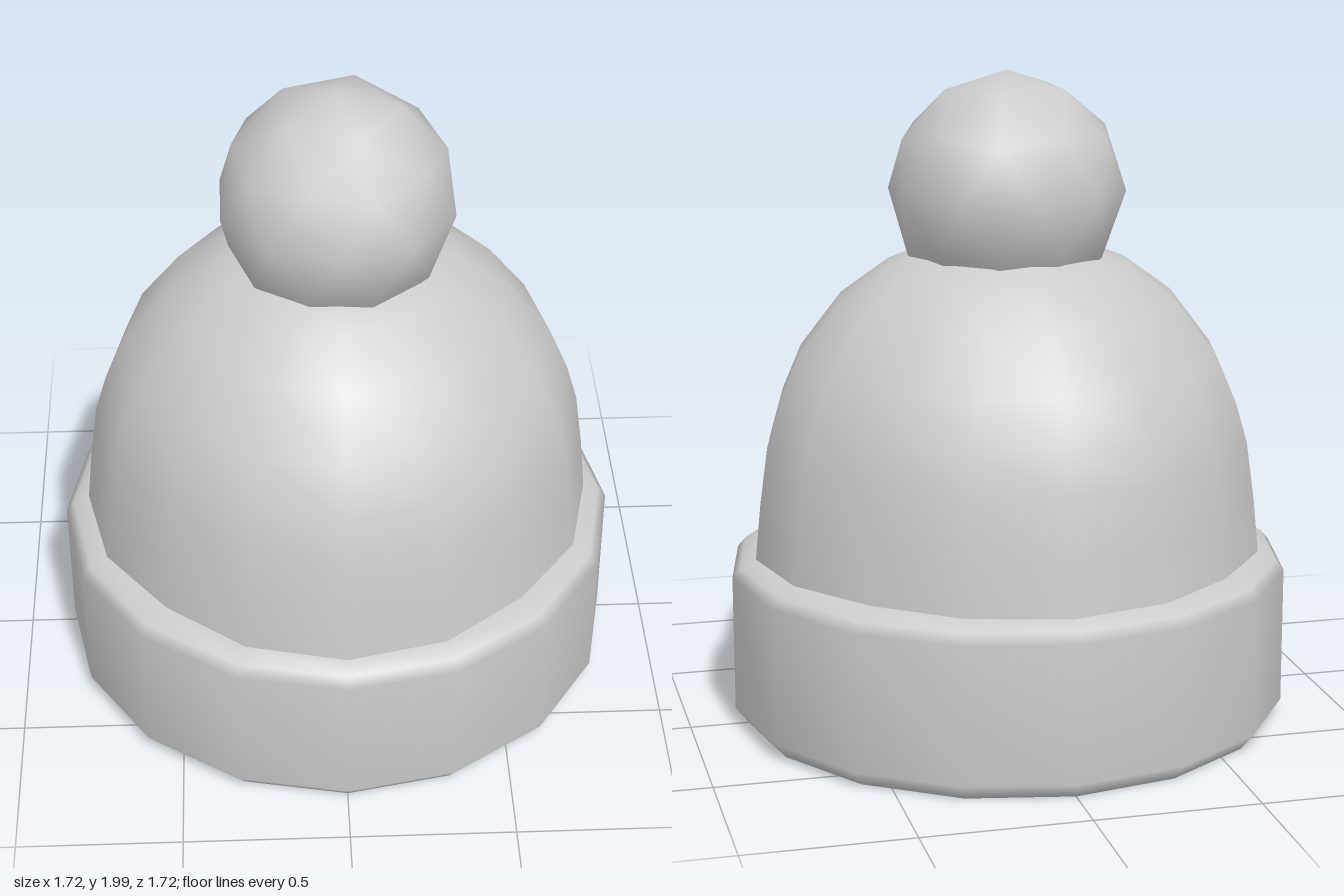
import * as THREE from 'three';
import { mergeVertices } from 'three/addons/utils/BufferGeometryUtils.js';

const SIDES = 16;
const profile = (pairs) => pairs.map(([x, y]) => new THREE.Vector2(x, y));

// Welds the lathe seam so that normals run smoothly all round
function weld(geometry) {
  geometry.deleteAttribute('uv');
  geometry.deleteAttribute('normal');
  const welded = mergeVertices(geometry, 1e-4);
  welded.computeVertexNormals();
  return welded;
}

export function createModel() {
  const hat = new THREE.Group();
  hat.name = 'bobbleHat';
  const wool = new THREE.MeshStandardMaterial({ color: 0xcccccc });
  wool.name = 'grey wool';

  const add = (name, geometry) => {
    const mesh = new THREE.Mesh(geometry, wool);
    mesh.name = name;
    hat.add(mesh);
    return mesh;
  };

  // Folded cuff, with its inner wall
  add('cuff', weld(new THREE.LatheGeometry(profile([
    [0.68, 0.37], [0.735, 0.06], [0.765, 0.015], [0.82, 0.01],
    [0.86, 0.06], [0.86, 0.48], [0.835, 0.51], [0.78, 0.535], [0.72, 0.535],
  ]), SIDES)));

  // Flat lining closing the opening
  const lining = add('lining', new THREE.CircleGeometry(0.68, SIDES));
  lining.rotation.x = Math.PI / 2;
  lining.position.y = 0.37;

  // Crown, gathered into shallow folds on the diagonals
  const crown = new THREE.LatheGeometry(profile([
    [0.79, 0.5], [0.77, 0.7], [0.745, 0.88], [0.71, 1.0], [0.65, 1.14],
    [0.52, 1.31], [0.37, 1.42], [0.25, 1.47], [0, 1.5],
  ]), SIDES);
  const pos = crown.attributes.position;
  for (let i = 0; i < pos.count; i++) {
    const x = pos.getX(i), z = pos.getZ(i);
    const fold = 1 - 0.035 * Math.sin(2 * Math.atan2(z, x)) ** 4;
    pos.setX(i, x * fold);
    pos.setZ(i, z * fold);
  }
  add('crown', weld(crown));

  // Round pom-pom with one corner pointing straight up
  const ball = new THREE.IcosahedronGeometry(0.36, 1);
  ball.rotateZ(-Math.atan(2 / (1 + Math.sqrt(5))));
  add('pomPom', ball).position.y = 1.64;

  return hat;
}
